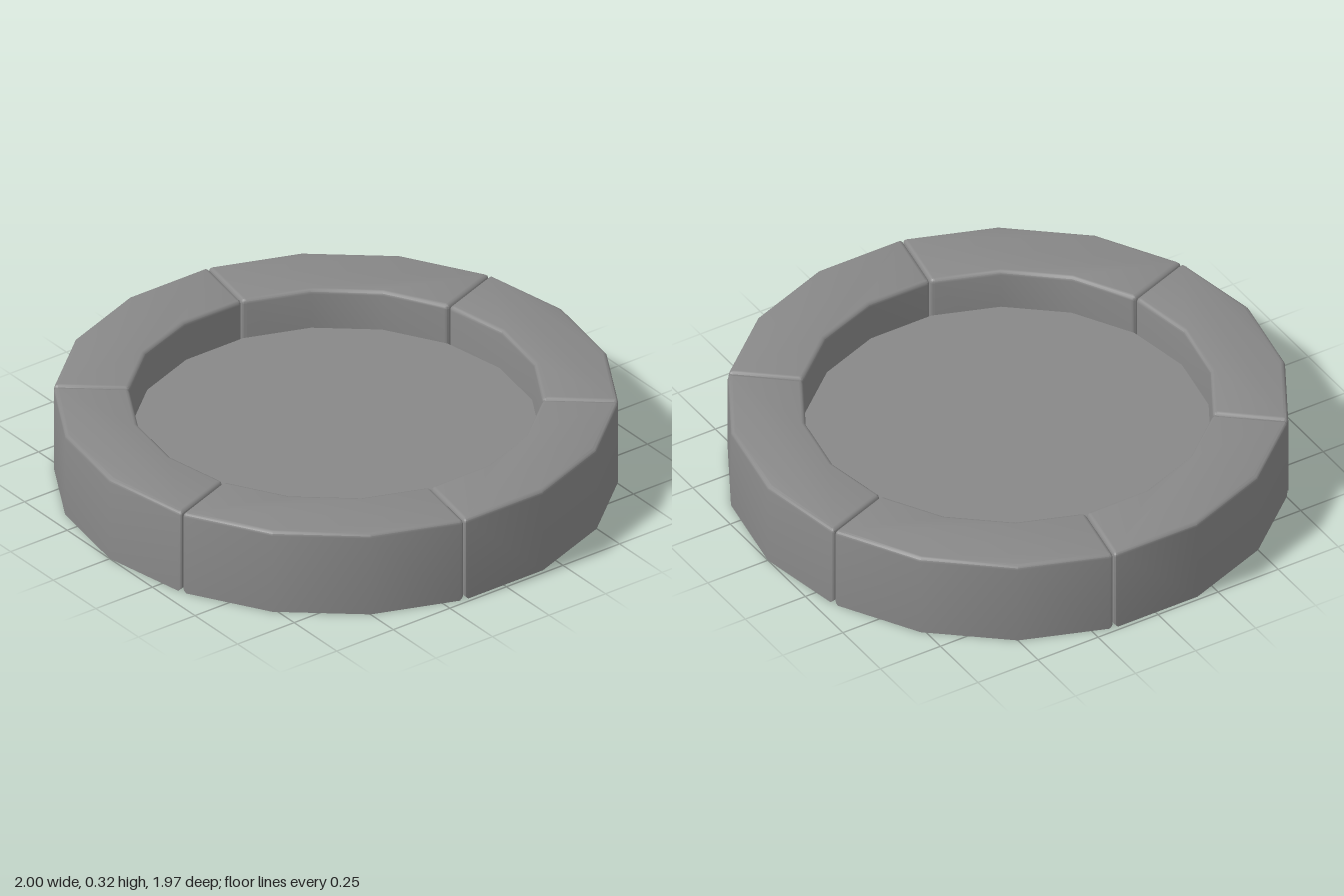
import * as THREE from 'three';
import { toCreasedNormals } from 'three/addons/utils/BufferGeometryUtils.js';

const STEP = Math.PI / 9; // 18-sided ring
const OUTER = 1, INNER = 0.73, HEIGHT = 0.325, BEVEL = 0.016, GAP = 0.001;

// Outline of one block: three 20-degree facets with rounded end corners
function blockShape() {
  const arc = (r) => {
    const pts = [0, 1, 2, 3].map((i) => new THREE.Vector2(r * Math.cos(i * STEP), r * Math.sin(i * STEP)));
    const inset = GAP / pts[0].distanceTo(pts[1]);
    pts[0].lerp(pts[1], inset);
    pts[3].lerp(pts[2], inset);
    return pts;
  };
  const corners = [...arc(OUTER), ...arc(INNER).reverse()];
  const n = corners.length;
  const toward = (a, b) => b.clone().sub(a).setLength(BEVEL).add(a);
  const shape = new THREE.Shape();
  corners.forEach((c, i) => {
    if (i % 4 === 0 || i % 4 === 3) {
      const a = toward(c, corners[(i + n - 1) % n]);
      const b = toward(c, corners[(i + 1) % n]);
      if (i === 0) shape.moveTo(a.x, a.y);
      else shape.lineTo(a.x, a.y);
      shape.quadraticCurveTo(c.x, c.y, b.x, b.y);
    } else shape.lineTo(c.x, c.y);
  });
  shape.closePath();
  return shape;
}

// Block with a rounded top edge; the base is flat and chamfered only at the joints
function blockGeometry() {
  const geo = new THREE.ExtrudeGeometry(blockShape(), {
    depth: HEIGHT - BEVEL, curveSegments: 3, bevelEnabled: true,
    bevelSize: BEVEL, bevelOffset: -BEVEL, bevelThickness: BEVEL, bevelSegments: 3,
  });
  const pos = geo.attributes.position;
  for (let i = 0; i < pos.count; i++) {
    if (pos.getZ(i) > 1e-4) continue;
    const x = pos.getX(i), y = pos.getY(i);
    const fromEnd = Math.min(y, x * Math.sin(3 * STEP) - y * Math.cos(3 * STEP));
    pos.setZ(i, Math.max(0, BEVEL - fromEnd));
  }
  geo.rotateX(-Math.PI / 2);
  return toCreasedNormals(geo, 0.55);
}

export function createModel() {
  const model = new THREE.Group();
  model.name = 'ringPit';
  const material = new THREE.MeshStandardMaterial({ color: 0x888888 });

  // Ring of six blocks
  const ring = new THREE.Group();
  ring.name = 'stoneRing';
  const geo = blockGeometry();
  for (let k = 0; k < 6; k++) {
    const block = new THREE.Mesh(geo, material);
    block.name = `ringBlock${k + 1}`;
    block.rotation.y = STEP + (k * Math.PI) / 3;
    ring.add(block);
  }
  model.add(ring);

  // Floor disc, raised off the ground inside the ring
  const floor = new THREE.Mesh(new THREE.CylinderGeometry(0.724, 0.724, 0.085, 18), material);
  floor.name = 'floorDisc';
  floor.rotation.y = STEP / 2;
  floor.position.y = 0.1325;
  model.add(floor);

  return model;
}
